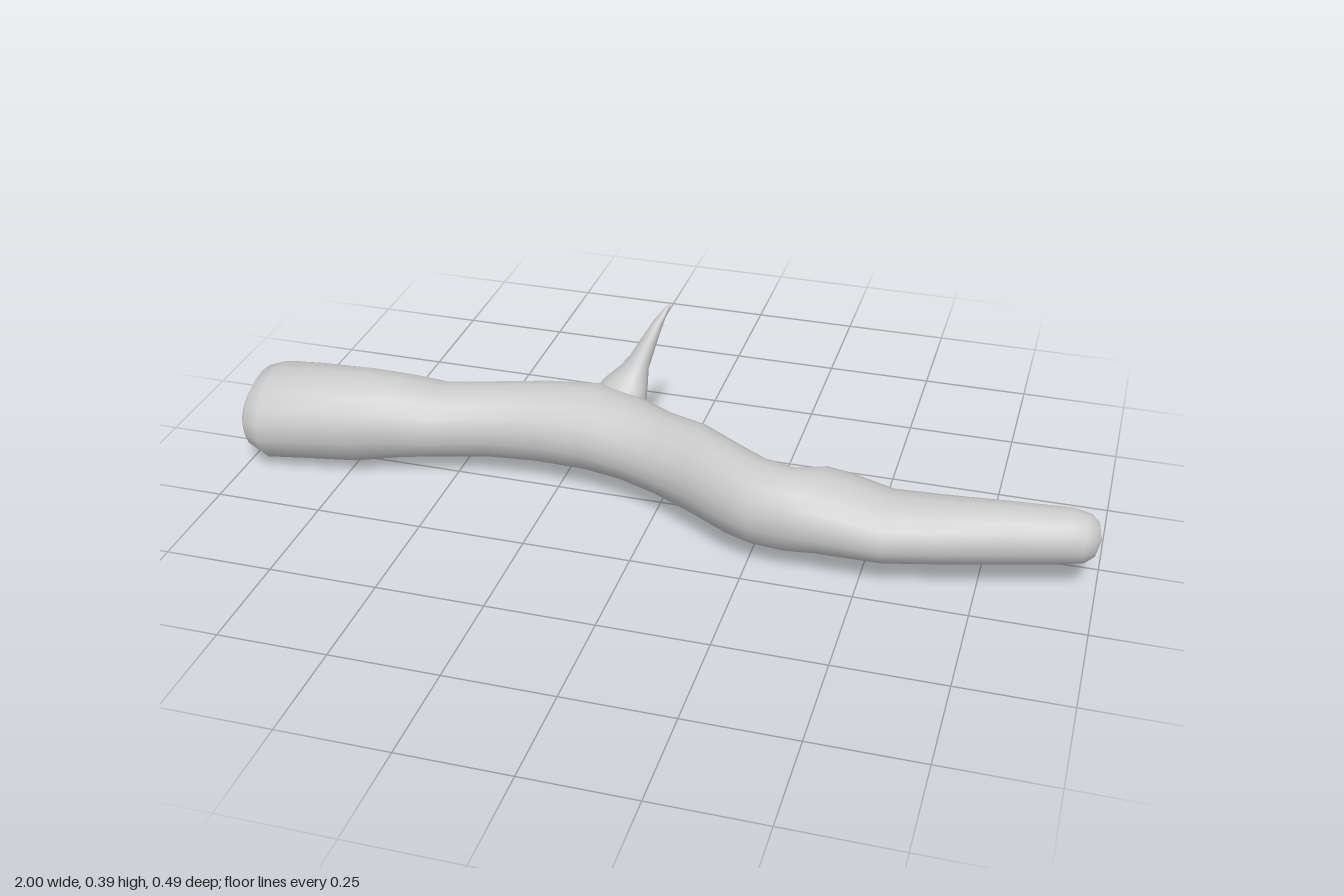
import * as THREE from 'three';

const SIDES = 18;
const material = new THREE.MeshStandardMaterial({ color: 0xcccccc });

// Skin a run of rings; ringPoint(ring, angle) gives one surface point.
function loft(name, rings, ringPoint) {
  const positions = [];
  const index = [];
  rings.forEach((ring, i) => {
    for (let j = 0; j < SIDES; j++) {
      positions.push(...ringPoint(ring, (j / SIDES) * Math.PI * 2));
      if (i === rings.length - 1) continue;
      const a = i * SIDES + j;
      const b = i * SIDES + ((j + 1) % SIDES);
      index.push(a, b, a + SIDES, b, b + SIDES, a + SIDES);
    }
  });
  const geometry = new THREE.BufferGeometry();
  geometry.setAttribute('position', new THREE.Float32BufferAttribute(positions, 3));
  geometry.setIndex(index);
  geometry.computeVertexNormals();
  const mesh = new THREE.Mesh(geometry, material);
  mesh.name = name;
  return mesh;
}

// Upright oval across the stick: x, bottom, top, back, front
const acrossX = ([x, y0, y1, z0, z1], a) => [
  x,
  (y0 + y1) / 2 + ((y1 - y0) / 2) * Math.cos(a),
  (z0 + z1) / 2 + ((z1 - z0) / 2) * Math.sin(a),
];

// Level oval across the twig: y, centre x, centre z, radius x, radius z
const acrossY = ([y, x, z, rx, rz], a) => [x + rx * Math.sin(a), y, z + rz * Math.cos(a)];

export function createModel() {
  const group = new THREE.Group();
  group.name = 'branch';

  // Winding main stem, thick end to rounded thin end
  const stem = [
    [-1.0, 0.045, 0.185, -0.09, 0.11],
    [-0.985, 0.022, 0.21, -0.108, 0.132],
    [-0.945, 0.003, 0.227, -0.115, 0.148],
    [-0.86, 0.01, 0.235, -0.11, 0.14],
    [-0.73, 0.018, 0.241, -0.105, 0.125],
    [-0.64, 0.03, 0.232, -0.11, 0.098],
    [-0.55, 0.038, 0.215, -0.12, 0.073],
    [-0.42, 0.042, 0.222, -0.143, 0.042],
    [-0.3, 0.042, 0.234, -0.163, 0.034],
    [-0.18, 0.042, 0.24, -0.18, 0.045],
    [-0.09, 0.042, 0.23, -0.16, 0.062],
    [0.0, 0.042, 0.226, -0.11, 0.095],
    [0.1, 0.042, 0.24, -0.057, 0.152],
    [0.2, 0.043, 0.236, 0.005, 0.213],
    [0.26, 0.044, 0.235, 0.045, 0.235],
    [0.33, 0.045, 0.234, 0.066, 0.242],
    [0.365, 0.046, 0.233, 0.052, 0.243],
    [0.4, 0.047, 0.23, 0.03, 0.243],
    [0.46, 0.049, 0.22, 0.031, 0.243],
    [0.55, 0.053, 0.201, 0.044, 0.241],
    [0.66, 0.061, 0.203, 0.046, 0.22],
    [0.8, 0.07, 0.206, 0.044, 0.188],
    [0.93, 0.078, 0.2, 0.03, 0.156],
    [0.97, 0.084, 0.191, 0.034, 0.144],
    [0.99, 0.099, 0.175, 0.05, 0.125],
    [1.0, 0.137, 0.137, 0.088, 0.088],
  ];
  group.add(loft('stem', stem, acrossX));

  // Flat cut face closing the thick end
  const cut = [[-1.0, 0.115, 0.115, 0.01, 0.01], stem[0]];
  group.add(loft('cutEnd', cut, acrossX));

  // Short pointed twig flaring out of the stem
  const twig = [
    [0.1, -0.17, -0.085, 0.085, 0.067],
    [0.15, -0.155, -0.105, 0.08, 0.074],
    [0.195, -0.14, -0.13, 0.066, 0.066],
    [0.225, -0.128, -0.15, 0.052, 0.054],
    [0.25, -0.115, -0.17, 0.035, 0.041],
    [0.275, -0.102, -0.183, 0.027, 0.032],
    [0.31, -0.088, -0.198, 0.021, 0.026],
    [0.355, -0.069, -0.219, 0.013, 0.018],
    [0.385, -0.053, -0.238, 0.006, 0.007],
    [0.395, -0.046, -0.243, 0, 0],
  ];
  group.add(loft('twig', twig, acrossY));

  return group;
}
